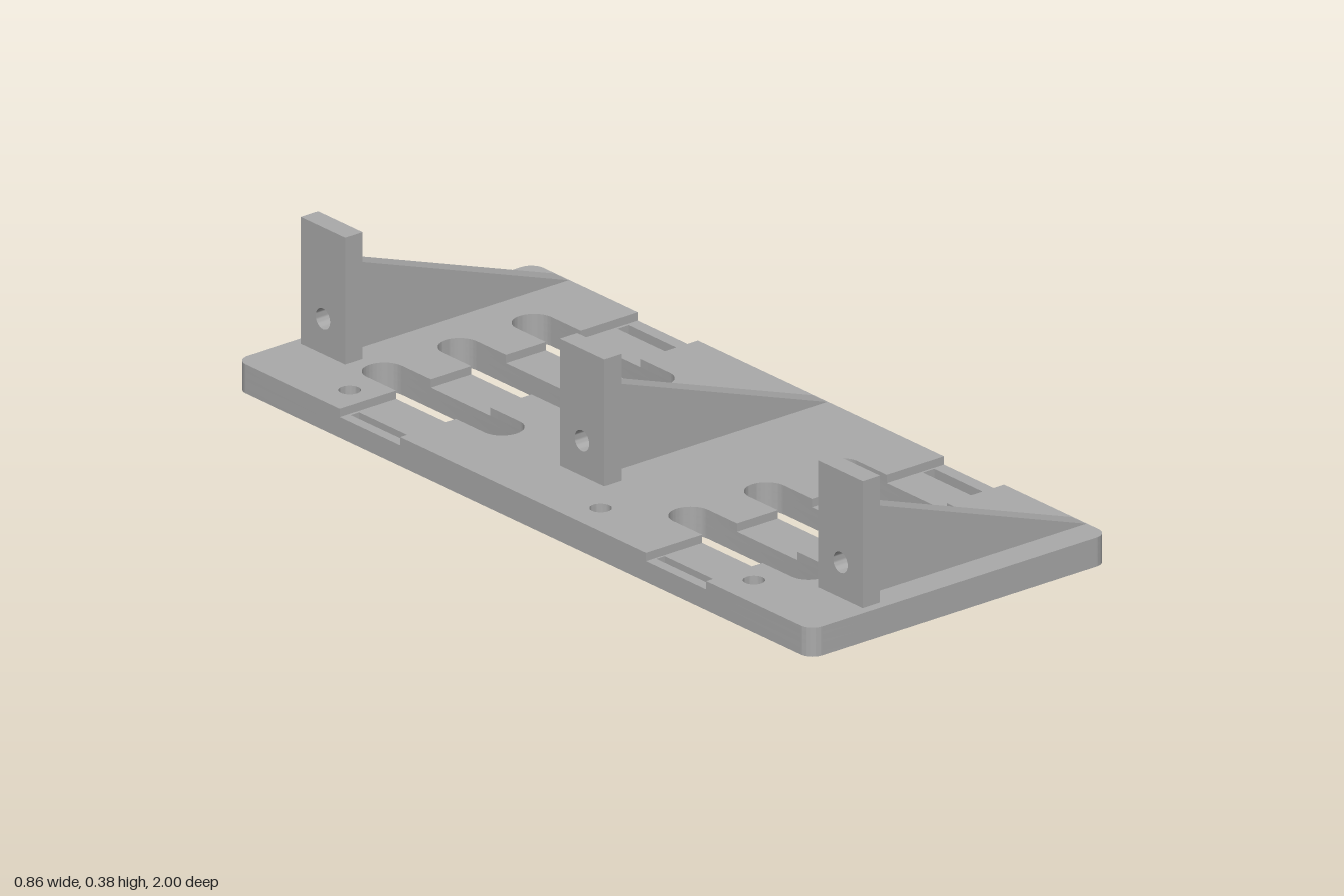
import * as THREE from 'three';
import { toCreasedNormals } from 'three/addons/utils/BufferGeometryUtils.js';

const W = 0.43, L = 1, CORNER = 0.035;      // plate half width, half length, corner radius
const FLOOR = 0.05, TOP = 0.07;             // channel floor and plate top heights
const IN = 0.428, OUT = 0.637;              // channel limits along the plate
const SLOT_R = 0.05, SLOT_IN = 0.278, SLOT_OUT = 0.788;
const SLOT_X = [-0.218, 0, 0.215];
const HOLE_X = -0.345, HOLE_Y = [0.705, -0.167, -0.7]; // shape y is -z

const circle = (x, y, r) => new THREE.Path().absarc(x, y, r, 0, Math.PI * 2, true);

function rect(x0, x1, y0, y1) {
  return new THREE.Path([[x0, y0], [x0, y1], [x1, y1], [x1, y0]].map(p => new THREE.Vector2(...p)));
}

function slot(x, a, b) {
  const p = new THREE.Path();
  p.absarc(x, b - SLOT_R, SLOT_R, 0, Math.PI, false);
  p.absarc(x, a + SLOT_R, SLOT_R, Math.PI, Math.PI * 2, false);
  p.closePath();
  return p;
}

// Two rounded corners closing one end of the plate; s picks the end
function roundedEnd(shape, s) {
  const a = s > 0 ? 0 : Math.PI, r = CORNER;
  shape.absarc(s * (W - r), s * (L - r), r, a, a + Math.PI / 2, false);
  shape.absarc(-s * (W - r), s * (L - r), r, a + Math.PI / 2, a + Math.PI, false);
}

// Straight edge across the plate, notched by the open ends of the slots
function notchedEdge(shape, s, edge, tip) {
  const a = s > 0 ? Math.PI : 0;
  shape.lineTo(-s * W, edge);
  for (const x of s > 0 ? SLOT_X : [...SLOT_X].reverse()) {
    shape.lineTo(x - s * SLOT_R, edge);
    shape.absarc(x, tip - s * SLOT_R, SLOT_R, a, Math.PI - a, true);
    shape.lineTo(x + s * SLOT_R, edge);
  }
  shape.lineTo(s * W, edge);
}

// Lay a shape flat between two heights
function slab(shape, y0, y1) {
  const g = new THREE.ExtrudeGeometry(shape, { depth: y1 - y0, bevelEnabled: false, curveSegments: 16 });
  g.rotateX(-Math.PI / 2).translate(0, y0, 0);
  return toCreasedNormals(g, 0.6);
}

export function createModel() {
  const model = new THREE.Group();
  model.name = 'slottedBracketPlate';
  const grey = new THREE.MeshStandardMaterial({ color: 0xaaaaaa });
  grey.name = 'grey';
  const add = (name, geometry, parent = model) => {
    const mesh = new THREE.Mesh(geometry, grey);
    mesh.name = name;
    parent.add(mesh);
    return mesh;
  };

  // Lower plate in two layers: wide counterbores below, narrow screw holes above
  const lower = (holeRadius) => {
    const s = new THREE.Shape();
    roundedEnd(s, 1);
    roundedEnd(s, -1);
    s.closePath();
    for (const x of SLOT_X) s.holes.push(slot(x, SLOT_IN, SLOT_OUT), slot(x, -SLOT_OUT, -SLOT_IN));
    for (const [a, b] of [[0.438, 0.63], [-0.625, -0.433]]) {
      s.holes.push(rect(-0.404, -0.38, a, b), rect(0.365, 0.398, a, b)); // strap slits
    }
    for (const y of HOLE_Y) s.holes.push(circle(HOLE_X, y, holeRadius));
    return s;
  };
  add('plateUnderside', slab(lower(0.042), 0, 0.03));
  add('plateCore', slab(lower(0.025), 0.03, FLOOR));

  // Raised pads on either side of the two cross channels
  for (const s of [1, -1]) {
    const end = new THREE.Shape();
    end.moveTo(-s * W, s * OUT);
    notchedEdge(end, s, s * OUT, s * SLOT_OUT);
    roundedEnd(end, s);
    end.closePath();
    end.holes.push(circle(HOLE_X, HOLE_Y[s > 0 ? 0 : 2], 0.025));
    add(s > 0 ? 'backPad' : 'frontPad', slab(end, FLOOR, TOP));
  }
  const middle = new THREE.Shape();
  middle.moveTo(-W, -IN);
  notchedEdge(middle, 1, -IN, -SLOT_IN);
  notchedEdge(middle, -1, IN, SLOT_IN);
  middle.closePath();
  middle.holes.push(circle(HOLE_X, HOLE_Y[1], 0.025));
  add('middlePad', slab(middle, FLOOR, TOP));

  // Upright post with a screw hole, braced by a sloping rib
  const post = new THREE.Shape([[-0.077, TOP], [0.077, TOP], [0.077, 0.376], [-0.077, 0.376]]
    .map(p => new THREE.Vector2(...p)));
  post.holes.push(circle(0, 0.155, 0.025));
  const postGeometry = toCreasedNormals(
    new THREE.ExtrudeGeometry(post, { depth: 0.05, bevelEnabled: false, curveSegments: 16 })
      .rotateY(Math.PI / 2).translate(-0.26, 0, 0), 0.6);
  const rib = new THREE.Shape([[-0.21, TOP], [0.428, TOP], [-0.21, 0.29]]
    .map(p => new THREE.Vector2(...p)));
  const ribGeometry = new THREE.ExtrudeGeometry(rib, { depth: 0.05, bevelEnabled: false }).translate(0, 0, -0.025);

  for (const z of [-0.9, 0, 0.9]) {
    const bracket = new THREE.Group();
    bracket.name = 'bracket';
    bracket.position.z = z;
    add('post', postGeometry, bracket);
    add('rib', ribGeometry, bracket);
    model.add(bracket);
  }
  return model;
}
